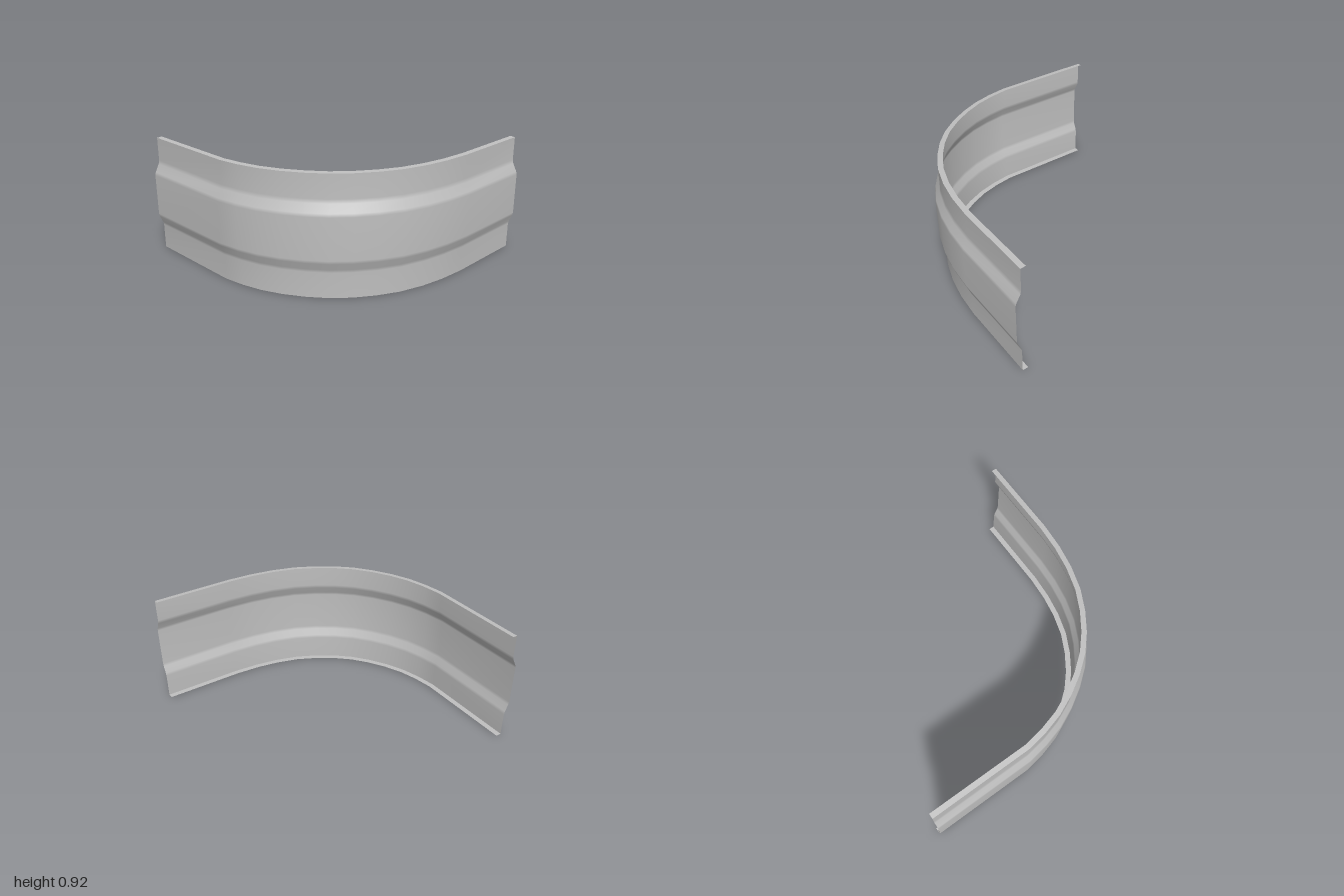
import * as THREE from 'three';

// Plan of the outermost line as [x, z]: straight, curve, straight
const PATH = [
  [-1, -1], [-1, -0.19], [-0.973, -0.02], [-0.93, 0.14], [-0.86, 0.3], [-0.77, 0.45], [-0.665, 0.585],
  [-0.54, 0.7], [-0.395, 0.8], [-0.23, 0.885], [-0.04, 0.945], [0.15, 0.98], [0.36, 0.997], [1, 0.997],
].map(([x, z]) => new THREE.Vector2(x, z));

// Inward direction at each path point
const INWARD = PATH.map((p, i) => {
  const before = PATH[Math.max(i - 1, 0)], after = PATH[Math.min(i + 1, PATH.length - 1)];
  const t = p.clone().sub(before).normalize().add(after.clone().sub(p).normalize()).normalize();
  return new THREE.Vector2(t.y, -t.x);
});

// Sweeps a profile of [inset, height] points along the path
function sweep(name, profile, material) {
  const positions = [], index = [], n = profile.length;
  PATH.forEach((p, i) => {
    for (const [inset, y] of profile) {
      positions.push(p.x + INWARD[i].x * inset, y, p.y + INWARD[i].y * inset);
    }
    if (i === 0) return;
    for (let j = 0; j < n - 1; j++) {
      const a = (i - 1) * n + j, b = i * n + j;
      index.push(a, b, b + 1, a, b + 1, a + 1);
    }
  });
  const geometry = new THREE.BufferGeometry();
  geometry.setAttribute('position', new THREE.Float32BufferAttribute(positions, 3));
  geometry.setIndex(index);
  geometry.computeVertexNormals();
  const mesh = new THREE.Mesh(geometry, material);
  mesh.name = name;
  return mesh;
}

export function createModel() {
  const steel = new THREE.MeshStandardMaterial({ color: 0xbfbfbf, side: THREE.DoubleSide });
  steel.name = 'galvanised steel';

  const model = new THREE.Group();
  model.name = 'curvedGuardRail';

  // Corrugated sheet with a raised middle band and soft bends
  model.add(sweep('railSheet', [
    [0.036, 0], [0.036, 0.195], [0.03, 0.22], [0.006, 0.275], [0, 0.3],
    [0, 0.62], [0.006, 0.645], [0.038, 0.705], [0.045, 0.735], [0.045, 0.915],
  ], steel));

  // Narrow lips folded inward along both edges
  model.add(sweep('topLip', [[0.045, 0.915], [0.085, 0.918]], steel));
  model.add(sweep('bottomLip', [[0.08, 0], [0.036, 0]], steel));
  return model;
}
